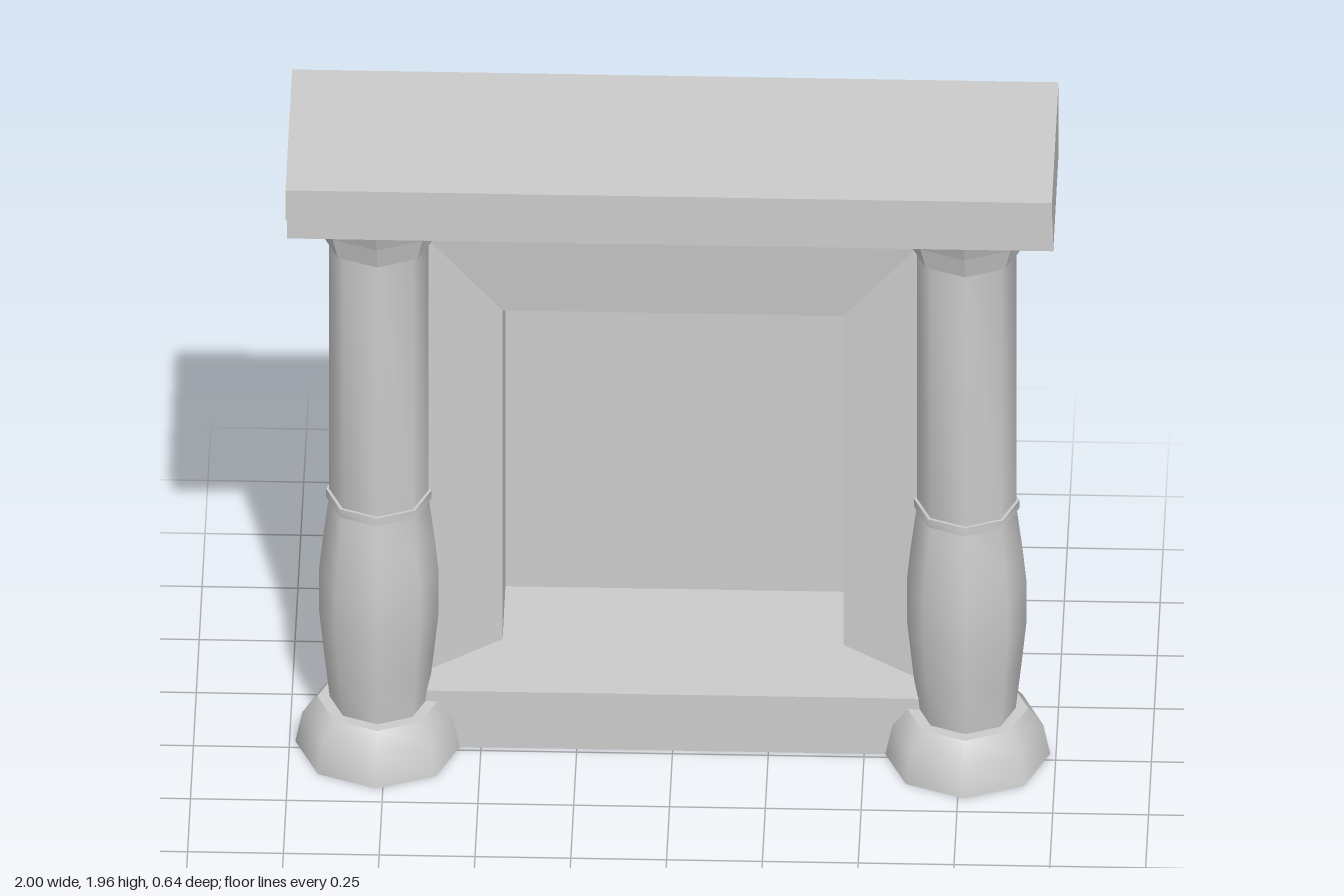
import * as THREE from 'three';
import { toCreasedNormals } from 'three/addons/utils/BufferGeometryUtils.js';

const smooth = new THREE.MeshStandardMaterial({ color: 0xcccccc });
const faceted = new THREE.MeshStandardMaterial({ color: 0xcccccc, flatShading: true });

function add(parent, name, geometry, material) {
  const mesh = new THREE.Mesh(geometry, material);
  mesh.name = name;
  parent.add(mesh);
  return mesh;
}

// Eight-sided turned solid; profile runs from bottom to top as [radius, y]
function turned(profile) {
  const points = profile.map(([r, y]) => new THREE.Vector2(r, y));
  return toCreasedNormals(new THREE.LatheGeometry(points, 8), 0.87);
}

// Box given by its limits
function block(parent, name, [x0, x1], [y0, y1], [z0, z1]) {
  const mesh = add(parent, name, new THREE.BoxGeometry(x1 - x0, y1 - y0, z1 - z0), faceted);
  mesh.position.set((x0 + x1) / 2, (y0 + y1) / 2, (z0 + z1) / 2);
}

// Skin over a row of rectangular sections [halfWidth, bottom, top, z], capped at both ends
function rectangularLoft(sections) {
  const loops = sections.map(([w, b, t, z]) =>
    [[-w, b], [w, b], [w, t], [-w, t]].map(([x, y]) => new THREE.Vector3(x, y, z)));
  const positions = [];
  const quad = (a, b, c, d) => {
    for (const [p, q, r] of [[a, b, c], [a, c, d]]) {
      const area = q.clone().sub(p).cross(r.clone().sub(p)).length();
      if (area > 1e-8) for (const v of [p, q, r]) positions.push(v.x, v.y, v.z);
    }
  };
  for (let i = 0; i < loops.length - 1; i++) {
    for (let k = 0; k < 4; k++) {
      const n = (k + 1) % 4;
      quad(loops[i][k], loops[i][n], loops[i + 1][n], loops[i + 1][k]);
    }
  }
  const [a, b, c, d] = loops[0];
  quad(d, c, b, a);
  quad(...loops[loops.length - 1]);
  const geometry = new THREE.BufferGeometry();
  geometry.setAttribute('position', new THREE.Float32BufferAttribute(positions, 3));
  geometry.computeVertexNormals();
  return geometry;
}

function createColumn(name) {
  const column = new THREE.Group();
  column.name = name;
  add(column, 'base', turned([[0, 0], [0.218, 0], [0.2, 0.09], [0.16, 0.142], [0, 0.142]]), smooth);
  add(column, 'lowerShaft', turned([
    [0.128, 0.14], [0.142, 0.27], [0.156, 0.41], [0.156, 0.54], [0.146, 0.64], [0.13, 0.77],
  ]), smooth);
  add(column, 'ring', turned([[0.12, 0.768], [0.138, 0.768], [0.138, 0.793], [0.12, 0.793]]), smooth);
  add(column, 'upperShaft', turned([[0.13, 0.78], [0.13, 1.59]]), smooth);
  // Capital: flared collar below a wider slab
  add(column, 'capital', turned([
    [0, 1.585], [0.147, 1.585], [0.174, 1.68], [0.21, 1.68], [0.23, 1.73], [0, 1.73],
  ]), faceted);
  return column;
}

export function createModel() {
  const model = new THREE.Group();
  model.name = 'fireplace';

  // Surround sloping in to the opening, then the firebox recess
  add(model, 'surround', rectangularLoft([
    [0.765, 0, 1.73, -0.32],
    [0.765, 0, 1.73, -0.015],
    [0.765, 0.175, 1.73, -0.015],
    [0.445, 0.31, 1.34, -0.06],
    [0.445, 0.31, 1.34, -0.31],
  ]), faceted);

  for (const [name, side] of [['leftColumn', 1], ['rightColumn', -1]]) {
    const column = createColumn(name);
    column.position.set(side * 0.767, 0, -0.03);
    model.add(column);
  }

  // Mantel: beam with an overhanging shelf, joined as one stepped profile
  const profile = new THREE.Shape();
  [[-0.25, 1.73], [0.205, 1.73], [0.205, 1.863], [0.32, 1.863], [0.32, 1.957], [-0.25, 1.957]]
    .forEach(([z, y], i) => (i ? profile.lineTo(-z, y) : profile.moveTo(-z, y)));
  const mantel = new THREE.ExtrudeGeometry(profile, { depth: 2, bevelEnabled: false });
  mantel.translate(0, 0, -1).rotateY(Math.PI / 2);
  add(model, 'mantel', mantel, faceted);

  return model;
}
